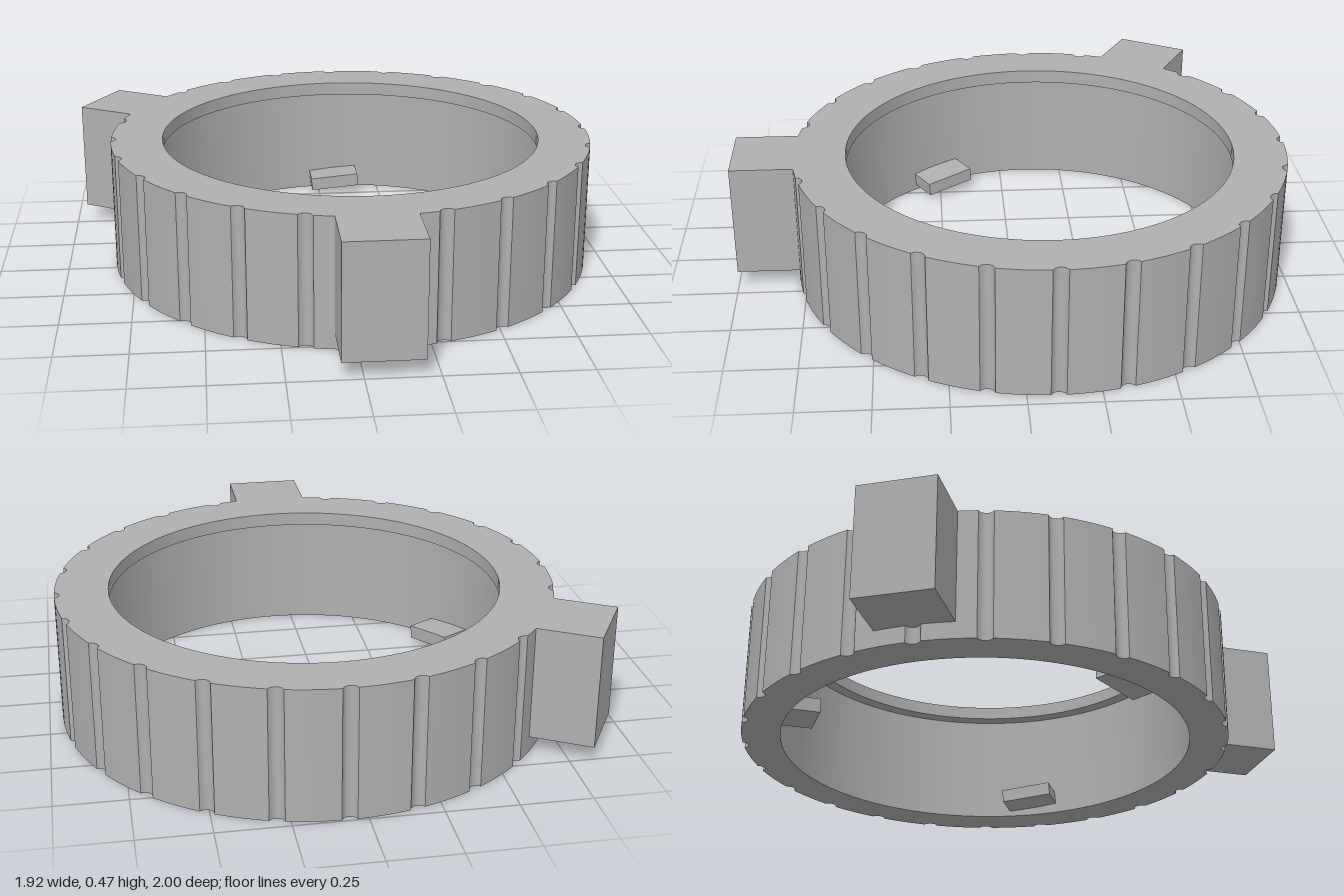
import * as THREE from 'three';
import { toCreasedNormals } from 'three/addons/utils/BufferGeometryUtils.js';

const R = 0.89, WALL = 0.75, LIP = 0.70, H = 0.47, LIP_Y = 0.42;
const GROOVES = 24;

// Outer outline: a circle broken by small rounded grooves
function gripOutline() {
  const pts = [], step = (Math.PI * 2) / GROOVES;
  const r = 0.028, spread = 1.2, centre = R + r * Math.cos(spread);
  const half = Math.asin((r * Math.sin(spread)) / R);
  for (let i = 0; i < GROOVES; i++) {
    const a = i * step, c = Math.cos(a), s = Math.sin(a);
    for (let j = 0; j <= 8; j++) {
      const t = -spread + (j / 8) * spread * 2;
      const u = centre - r * Math.cos(t), v = r * Math.sin(t);
      pts.push(new THREE.Vector2(u * c - v * s, u * s + v * c));
    }
    for (let j = 1; j < 6; j++) {
      const b = a + half + (j / 6) * (step - 2 * half);
      pts.push(new THREE.Vector2(R * Math.cos(b), R * Math.sin(b)));
    }
  }
  return pts;
}

export function createModel() {
  const model = new THREE.Group();
  const ring = new THREE.Group();
  ring.name = 'ring';
  ring.position.set(0.063, 0, -0.105);
  model.add(ring);
  const grey = new THREE.MeshStandardMaterial({ color: 0xb0b0b0 });
  grey.name = 'grey';

  const add = (parent, name, geometry) => {
    const mesh = new THREE.Mesh(geometry, grey);
    mesh.name = name;
    parent.add(mesh);
    return mesh;
  };

  // Grooved outer band
  const shape = new THREE.Shape(gripOutline());
  shape.holes.push(new THREE.Path().absarc(0, 0, WALL, 0, Math.PI * 2, true));
  const band = new THREE.ExtrudeGeometry(shape, { depth: H, bevelEnabled: false, curveSegments: 60 });
  band.rotateX(-Math.PI / 2);
  add(ring, 'groovedBand', toCreasedNormals(band, 0.5));

  // Narrow lip around the top of the bore
  const lipProfile = [[WALL, H], [LIP, H], [LIP, LIP_Y], [WALL + 0.003, LIP_Y]]
    .map(([x, y]) => new THREE.Vector2(x, y));
  add(ring, 'innerLip', toCreasedNormals(new THREE.LatheGeometry(lipProfile, 120), 0.5));

  // Parts placed around the ring, local +z pointing outward
  const radialBox = (name, angle, width, y0, y1, r0, r1, tilt = 0) => {
    const arm = new THREE.Group();
    arm.name = name + 'Mount';
    arm.rotation.y = THREE.MathUtils.degToRad(angle);
    ring.add(arm);
    const box = add(arm, name, new THREE.BoxGeometry(width, y1 - y0, r1 - r0));
    box.position.set(0, (y0 + y1) / 2, (r0 + r1) / 2);
    box.rotation.z = tilt;
  };

  // Two outer lugs
  for (const angle of [0, -120]) radialBox('lug', angle, 0.275, 0.06, H, 0.84, 1.105);

  // Three slightly pitched locking tabs inside the bore
  for (const angle of [180, 60, -60]) radialBox('lockingTab', angle, 0.195, 0.03, 0.08, 0.63, 0.765, -0.09);

  return model;
}
